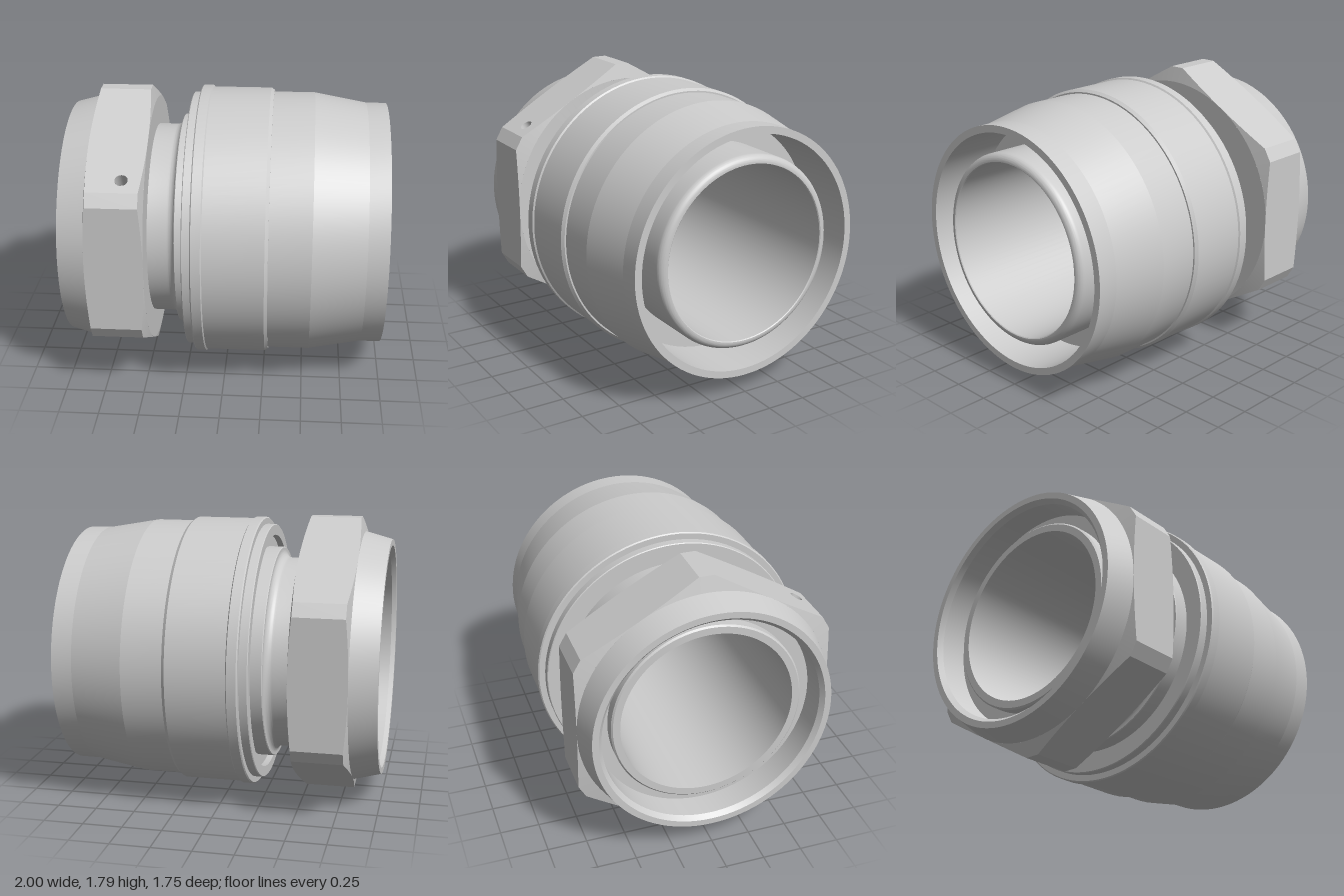
import * as THREE from 'three';
import { toCreasedNormals, mergeGeometries } from 'three/addons/utils/BufferGeometryUtils.js';

const deg = Math.PI / 180;
const material = new THREE.MeshStandardMaterial({ color: 0xcccccc });

// Turned part around the x axis from [x, radius] points
function turned(name, points) {
  const lathe = new THREE.LatheGeometry(points.map(([x, r]) => new THREE.Vector2(r, x)), 96);
  lathe.rotateZ(-Math.PI / 2);
  const mesh = new THREE.Mesh(toCreasedNormals(lathe, 0.15), material);
  mesh.name = name;
  return mesh;
}

// Arc points [x, r] for rounded edges
function arc(cx, cr, radius, from, to, n = 12) {
  return Array.from({ length: n + 1 }, (_, i) => {
    const a = (from + (to - from) * i / n) * deg;
    return [cx + radius * Math.cos(a), cr + radius * Math.sin(a)];
  });
}

// Hexagon with cut corners; built with its axis on z
const APOTHEM = 0.8, FLAT = 27, HALF = 0.18;
const cornerR = APOTHEM / Math.cos(FLAT * deg);
const cutApothem = cornerR * Math.cos(3 * deg);
const endZ = r => HALF - 0.22 * (r - APOTHEM);

function hexRadius(angle) {
  const a = Math.abs(((angle + 390) % 60) - 30);
  return a <= FLAT + 0.01 ? APOTHEM / Math.cos(a * deg) : cutApothem / Math.cos((30 - a) * deg);
}

// Places a flat piece (x = tangent, y = axis) on the side at an angle
function onSide(geometry, distance, angle) {
  const basis = new THREE.Matrix4().makeBasis(
    new THREE.Vector3(0, 1, 0), new THREE.Vector3(0, 0, 1), new THREE.Vector3(1, 0, 0));
  return geometry.translate(0, 0, distance).applyMatrix4(basis).rotateZ(angle * deg);
}

function hexNut() {
  const nut = new THREE.Group();
  nut.name = 'hexNut';
  const add = (name, geometry) => {
    const mesh = new THREE.Mesh(geometry, material);
    mesh.name = name;
    nut.add(mesh);
  };
  const hole = { t: 0.314, z: 0.05, r: 0.04, depth: 0.1, angle: 120 };

  // Flats with scalloped ends, and narrow corner strips
  const sides = [];
  for (let k = 0; k < 6; k++) {
    const outline = [];
    for (let a = -FLAT; a <= FLAT; a += 3)
      outline.push(new THREE.Vector2(APOTHEM * Math.tan(a * deg), endZ(hexRadius(a))));
    const mirrored = outline.map(p => new THREE.Vector2(p.x, -p.y));
    const shape = new THREE.Shape([...mirrored, ...outline.reverse()]);
    if (k * 60 === hole.angle)
      shape.holes.push(new THREE.Path().absarc(hole.t, hole.z, hole.r, 0, Math.PI * 2, true));
    sides.push(onSide(new THREE.ShapeGeometry(shape, 16), APOTHEM, k * 60));
    const strip = new THREE.PlaneGeometry(2 * cornerR * Math.sin(3 * deg), 2 * endZ(cornerR));
    sides.push(onSide(strip, cutApothem, k * 60 + 30));
  }
  add('nutSides', mergeGeometries(sides));

  // Conical chamfers at both ends
  for (const turn of [0, Math.PI]) {
    const ring = new THREE.RingGeometry(APOTHEM, 1, 120, 1);
    const pos = ring.attributes.position;
    for (let i = 0; i < pos.count; i++) {
      const angle = Math.atan2(pos.getY(i), pos.getX(i));
      const r = Math.hypot(pos.getX(i), pos.getY(i)) > 0.9 ? hexRadius(angle / deg) : APOTHEM;
      pos.setXYZ(i, r * Math.cos(angle), r * Math.sin(angle), endZ(r));
    }
    ring.computeVertexNormals();
    add('nutChamfer', ring.rotateY(turn));
  }

  // Blind hole in one flat
  const wall = new THREE.CylinderGeometry(hole.r, hole.r, hole.depth, 24, 1, true)
    .rotateX(Math.PI / 2).translate(hole.t, hole.z, -hole.depth / 2);
  const floor = new THREE.CircleGeometry(hole.r, 24).translate(hole.t, hole.z, -hole.depth);
  add('holeWall', onSide(wall, APOTHEM, hole.angle));
  nut.children.at(-1).material = new THREE.MeshStandardMaterial({ color: 0xcccccc, side: THREE.DoubleSide });
  add('holeFloor', onSide(floor, APOTHEM, hole.angle));

  nut.rotation.y = Math.PI / 2;
  nut.position.x = -0.65;
  return nut;
}

export function createModel() {
  const model = new THREE.Group();
  model.name = 'pipeCoupling';
  const fitting = new THREE.Group();
  fitting.name = 'fitting';
  fitting.position.y = cutApothem;
  model.add(fitting);

  fitting.add(hexNut());
  fitting.add(turned('nutCollar', [
    [-0.8, 0.6], [-0.8, 0.69], [-0.97, 0.69], [-1, 0.715], [-1, 0.755], [-0.83, 0.8],
  ]));
  fitting.add(turned('nutEndFace', [[-0.47, 0.8], [-0.47, 0.6]]));

  // Neck with a fillet up to its flange
  fitting.add(turned('neck', [
    [-0.48, 0.617], ...arc(-0.35, 0.667, 0.05, 270, 360),
    [-0.3, 0.68], [-0.295, 0.685], [-0.2, 0.685],
  ]));

  // Main sleeve with stepped outside and an open pocket at its end
  fitting.add(turned('sleeve', [
    [-0.2, 0.65], [-0.2, 0.76], [-0.24, 0.76], [-0.24, 0.825], [-0.235, 0.83], [-0.185, 0.83],
    [-0.185, 0.868], [-0.178, 0.875], [-0.12, 0.875], [-0.113, 0.865],
    [0.26, 0.865], [0.28, 0.85], [0.28, 0.84], [0.54, 0.84], [0.87, 0.781],
    [1, 0.78], [1, 0.735], [0.6, 0.735], [0.6, 0.6],
  ]));

  // Inner pipe with a rounded lip and a through bore
  fitting.add(turned('innerPipe', [
    [-0.88, 0.55], [-0.88, 0.595], [-0.87, 0.605], [0.91, 0.605],
    ...arc(0.94, 0.56, 0.045, 90, 0), [0.985, 0.555], [0.98, 0.55], [-0.88, 0.55],
  ]));
  return model;
}
